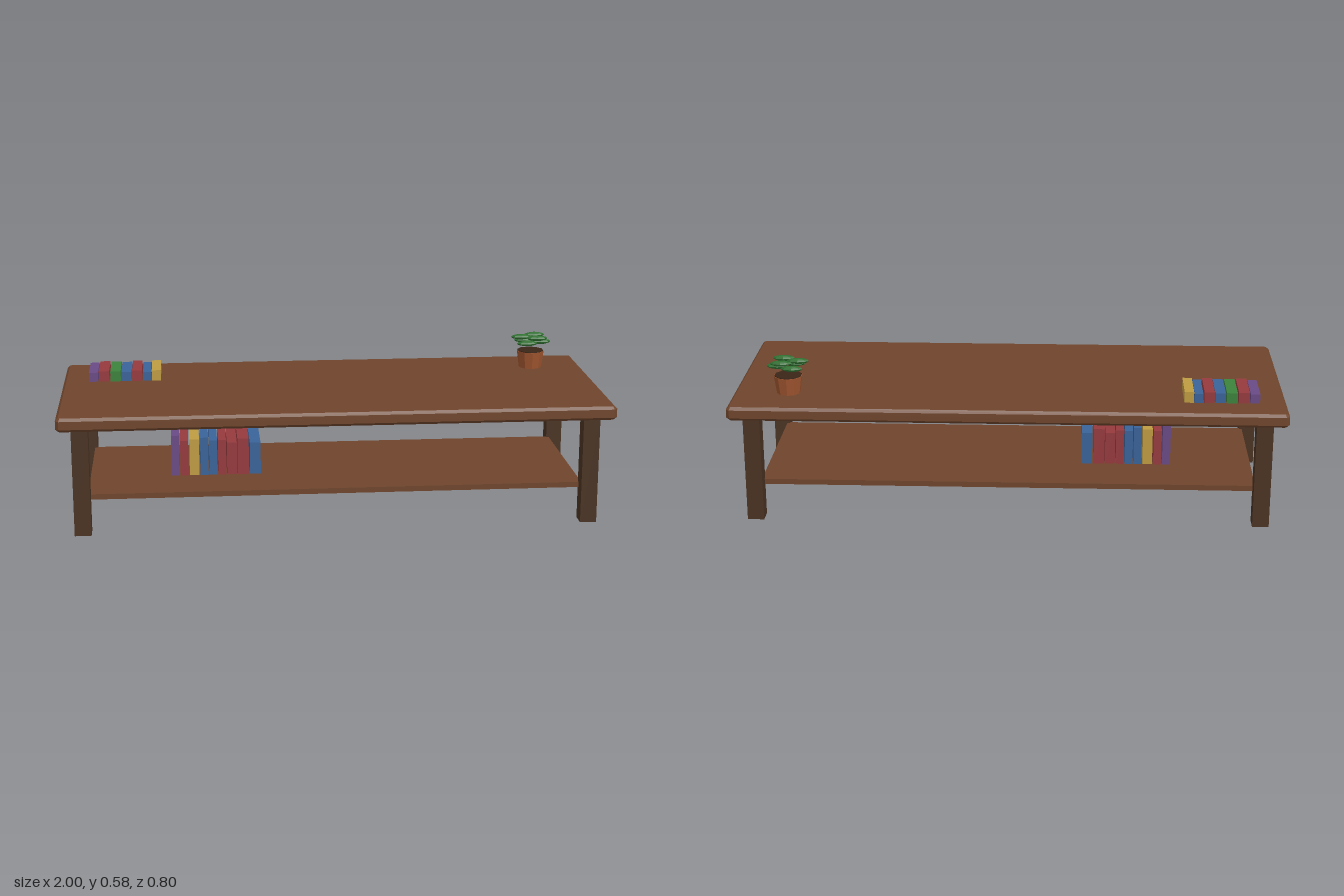
import * as THREE from 'three';

const material = (name, color) => {
  const m = new THREE.MeshStandardMaterial({ color });
  m.name = name;
  return m;
};

export function createModel() {
  const mats = {
    wood: material('tableWood', 0x6f452c),
    leg: material('darkLegWood', 0x4a3323),
    terracotta: material('terracotta', 0xa0552f),
    soil: material('soil', 0x3a2618),
    leaf: material('leafGreen', 0x2f6f30),
    purple: material('purpleCover', 0x6a4a86),
    red: material('redCover', 0x963a3e),
    yellow: material('yellowCover', 0xbf9c42),
    blue: material('blueCover', 0x3a6399),
    green: material('greenCover', 0x3c823c),
  };
  mats.leaf.flatShading = true;
  mats.terracotta.flatShading = true;

  const model = new THREE.Group();
  model.name = 'coffeeTable';

  const add = (parent, name, geometry, mat, x, y, z) => {
    const mesh = new THREE.Mesh(geometry, mat);
    mesh.name = name;
    mesh.position.set(x, y, z);
    parent.add(mesh);
    return mesh;
  };

  // Table top: slab with chamfered corners and edges
  const bevel = 0.01, hx = 1 - bevel, hz = 0.4 - bevel, c = 0.006;
  const outline = new THREE.Shape([
    [-hx + c, -hz], [hx - c, -hz], [hx, -hz + c], [hx, hz - c],
    [hx - c, hz], [-hx + c, hz], [-hx, hz - c], [-hx, -hz + c],
  ].map(([x, y]) => new THREE.Vector2(x, y)));
  const slab = new THREE.ExtrudeGeometry(outline, {
    depth: 0.03, bevelThickness: bevel, bevelSize: bevel, bevelSegments: 1,
  });
  slab.rotateX(-Math.PI / 2);
  add(model, 'tableTop', slab, mats.wood, 0, 0.41, 0);

  // Legs and lower shelf
  for (const sx of [-1, 1]) {
    for (const sz of [-1, 1]) {
      const name = (sz > 0 ? 'front' : 'back') + (sx > 0 ? 'Left' : 'Right') + 'Leg';
      add(model, name, new THREE.BoxGeometry(0.06, 0.4, 0.06), mats.leg, sx * 0.92, 0.2, sz * 0.32);
    }
  }
  add(model, 'lowerShelf', new THREE.BoxGeometry(1.8, 0.02, 0.6), mats.wood, 0, 0.13, 0);

  // Rows of books: [cover, left edge, right edge, height]
  const bookRow = (name, y, z, depth, books) => {
    const row = new THREE.Group();
    row.name = name;
    for (const [cover, x0, x1, h] of books) {
      add(row, cover + 'Book', new THREE.BoxGeometry(x1 - x0, h, depth), mats[cover],
        (x0 + x1) / 2, y + h / 2, z);
    }
    model.add(row);
  };
  bookRow('shelfBooks', 0.14, 0, 0.2, [
    ['purple', -0.6, -0.57, 0.154], ['red', -0.567, -0.537, 0.133],
    ['yellow', -0.533, -0.497, 0.138], ['blue', -0.493, -0.463, 0.144],
    ['blue', -0.46, -0.43, 0.132], ['red', -0.427, -0.397, 0.133],
    ['red', -0.394, -0.357, 0.123], ['red', -0.355, -0.313, 0.137],
    ['blue', -0.309, -0.269, 0.121],
  ]);
  bookRow('tableBooks', 0.45, -0.2, 0.16, [
    ['purple', -0.904, -0.87, 0.035], ['red', -0.867, -0.828, 0.04],
    ['green', -0.824, -0.785, 0.038], ['blue', -0.782, -0.744, 0.036],
    ['red', -0.742, -0.705, 0.04], ['blue', -0.701, -0.67, 0.034],
    ['yellow', -0.668, -0.634, 0.04],
  ]);

  // Potted plant
  const plant = new THREE.Group();
  plant.name = 'pottedPlant';
  plant.position.set(0.8, 0.45, -0.22);
  model.add(plant);
  add(plant, 'pot', new THREE.CylinderGeometry(0.0525, 0.043, 0.065, 10), mats.terracotta, 0, 0.0325, 0);
  add(plant, 'soil', new THREE.CylinderGeometry(0.05, 0.05, 0.006, 10), mats.soil, 0, 0.065, 0);

  // Six flattened leaves in a ring, alternating between two heights
  const leaf = new THREE.SphereGeometry(0.04, 8, 6);
  leaf.scale(1, 0.26, 0.42);
  for (let i = 0; i < 6; i++) {
    const a = (i * Math.PI) / 3;
    add(plant, 'leaf', leaf, mats.leaf, 0.038 * Math.cos(a), 0.1 + (i % 2) * 0.02, 0.038 * Math.sin(a));
  }
  return model;
}
